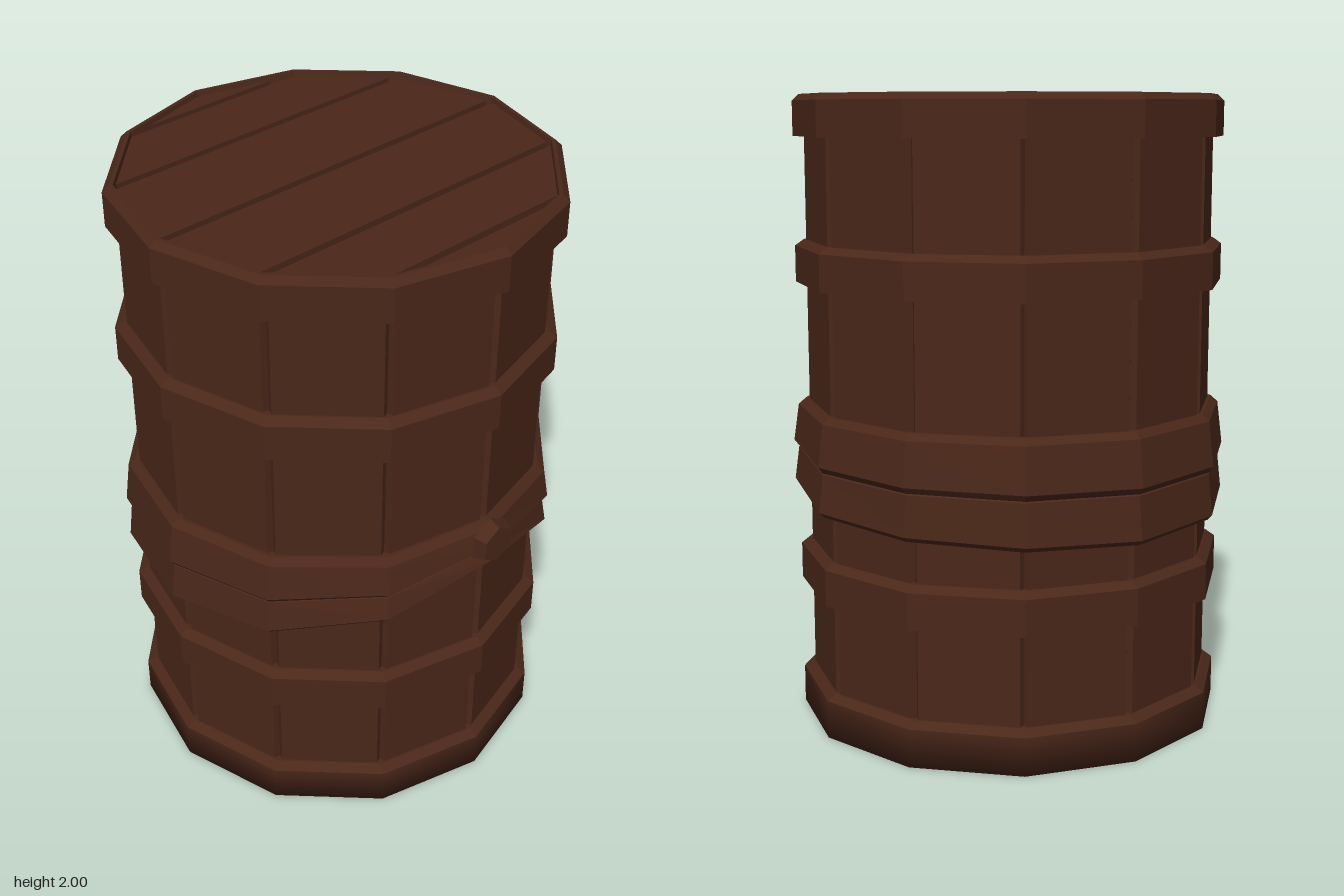
import * as THREE from 'three';

const SIDES = 12;
const wood = new THREE.MeshStandardMaterial({ color: 0x4a2719, flatShading: true });
const smoothWood = new THREE.MeshStandardMaterial({ color: 0x4a2719 });

function part(name, geometry, material = wood) {
  const mesh = new THREE.Mesh(geometry, material);
  mesh.name = name;
  return mesh;
}

// Twelve-sided ring turned from [radius, y] points, listed bottom to top on the outside
function ring(points) {
  return new THREE.LatheGeometry(points.map(([r, y]) => new THREE.Vector2(r, y)), SIDES);
}

// Flat outline of [x, z] points raised from y0 to y1
function raised(points, y0, y1) {
  const shape = new THREE.Shape(points.map(([x, z]) => new THREE.Vector2(x, -z)));
  const g = new THREE.ExtrudeGeometry(shape, { depth: y1 - y0, bevelEnabled: false });
  return g.rotateX(-Math.PI / 2).translate(0, y0, 0);
}

const corner = (r, k) => {
  const a = (k * Math.PI * 2) / SIDES;
  return [r * Math.sin(a), r * Math.cos(a)];
};

// Staves: twelve-sided wall with a narrow groove at every corner
function staves() {
  const R = 0.655, groove = 0.04, pts = [];
  for (let k = 0; k < SIDES; k++) {
    const p = corner(R, k), q = corner(R, k + 1);
    const mix = t => [p[0] + (q[0] - p[0]) * t, p[1] + (q[1] - p[1]) * t];
    pts.push(corner(R - 0.02, k), mix(groove), mix(1 - groove));
  }
  return raised(pts, 0.05, 1.95);
}

// Lid board: the slice of the twelve-sided outline between z0 and z1
function lidBoard(z0, z1) {
  const R = 0.655, right = [];
  for (let k = 0; k < SIDES / 2; k++) {
    const [x0, a] = corner(R, k), [x1, b] = corner(R, k + 1);
    const hi = Math.min(a, z1), lo = Math.max(b, z0);
    if (hi <= lo) continue;
    for (const z of [hi, lo]) right.push([x0 + (x1 - x0) * ((a - z) / (a - b)), z]);
  }
  const clean = right.filter((p, i) => i === 0 || Math.hypot(p[0] - right[i - 1][0], p[1] - right[i - 1][1]) > 1e-4);
  const left = clean.filter(p => p[0] > 1e-4).map(([x, z]) => [-x, z]).reverse();
  return raised([...clean, ...left], 1.955, 1.985);
}

// Strap: a ring whose edges sag from the front (1) to the back (0)
const SAG = [1, 0.58, 0.31, 0.16, 0.1, 0.04, 0];
function strap(profile) {
  const g = ring(profile.map(p => [p[0], 0]));
  const pos = g.attributes.position;
  for (let i = 0; i < pos.count; i++) {
    const k = Math.floor(i / profile.length);
    const [, front, back] = profile[i % profile.length];
    pos.setY(i, back + (front - back) * SAG[Math.min(k, SIDES - k)]);
  }
  return g;
}

export function createModel() {
  const model = new THREE.Group();
  model.name = 'barrel';
  const body = new THREE.Group();
  body.name = 'barrelBody';
  body.position.z = -0.007;
  model.add(body);

  body.add(part('staves', staves()));

  // Hoops
  for (const [name, y] of [['lowerHoop', 0.43], ['upperHoop', 1.41]]) {
    body.add(part(name, ring([[0.63, y], [0.688, y], [0.688, y + 0.115], [0.66, y + 0.135], [0.63, y + 0.135]])));
  }
  body.add(part('topRim', ring([[0.63, 1.87], [0.688, 1.87], [0.688, 1.98], [0.667, 2], [0.655, 2], [0.645, 1.95]])));

  // Base: softly shaded foot closed underneath, with a crisp chamfer on top
  body.add(part('baseFoot', ring([[0, 0], [0.688, 0], [0.688, 0.12]]), smoothWood));
  body.add(part('baseChamfer', ring([[0.688, 0.12], [0.66, 0.14], [0.63, 0.14]])));

  // Lid boards over a recessed floor that shows in the gaps
  const lid = new THREE.Group();
  lid.name = 'lid';
  const floor = Array.from({ length: SIDES }, (_, k) => corner(0.65, k));
  lid.add(part('lidFloor', raised(floor, 1.93, 1.96)));
  const gaps = [-0.575, -0.335, -0.003, 0.317, 0.563];
  const edges = [-0.66, ...gaps, 0.66];
  for (let i = 0; i < edges.length - 1; i++) {
    lid.add(part('lidBoard', lidBoard(edges[i] + 0.012, edges[i + 1] - 0.012)));
  }
  body.add(lid);

  // Two sagging straps gathered at the front; each row is radius, front y, back y
  body.add(part('upperStrap', strap([
    [0.64, 0.95, 0.835], [0.69, 0.96, 0.835], [0.705, 0.975, 0.855],
    [0.688, 1.035, 1.0], [0.665, 1.055, 1.02], [0.64, 1.055, 1.02],
  ])));
  body.add(part('lowerStrap', strap([
    [0.64, 0.905, 0.69], [0.69, 0.905, 0.68], [0.704, 0.92, 0.695],
    [0.69, 0.955, 0.83], [0.66, 0.965, 0.85], [0.64, 0.965, 0.85],
  ])));

  // Six-sided stud holding the straps
  const stud = part('stud', new THREE.CylinderGeometry(0.062, 0.078, 0.04, 6).rotateX(Math.PI / 2));
  stud.position.set(0, 0.99, 0.692);
  model.add(stud);
  return model;
}
